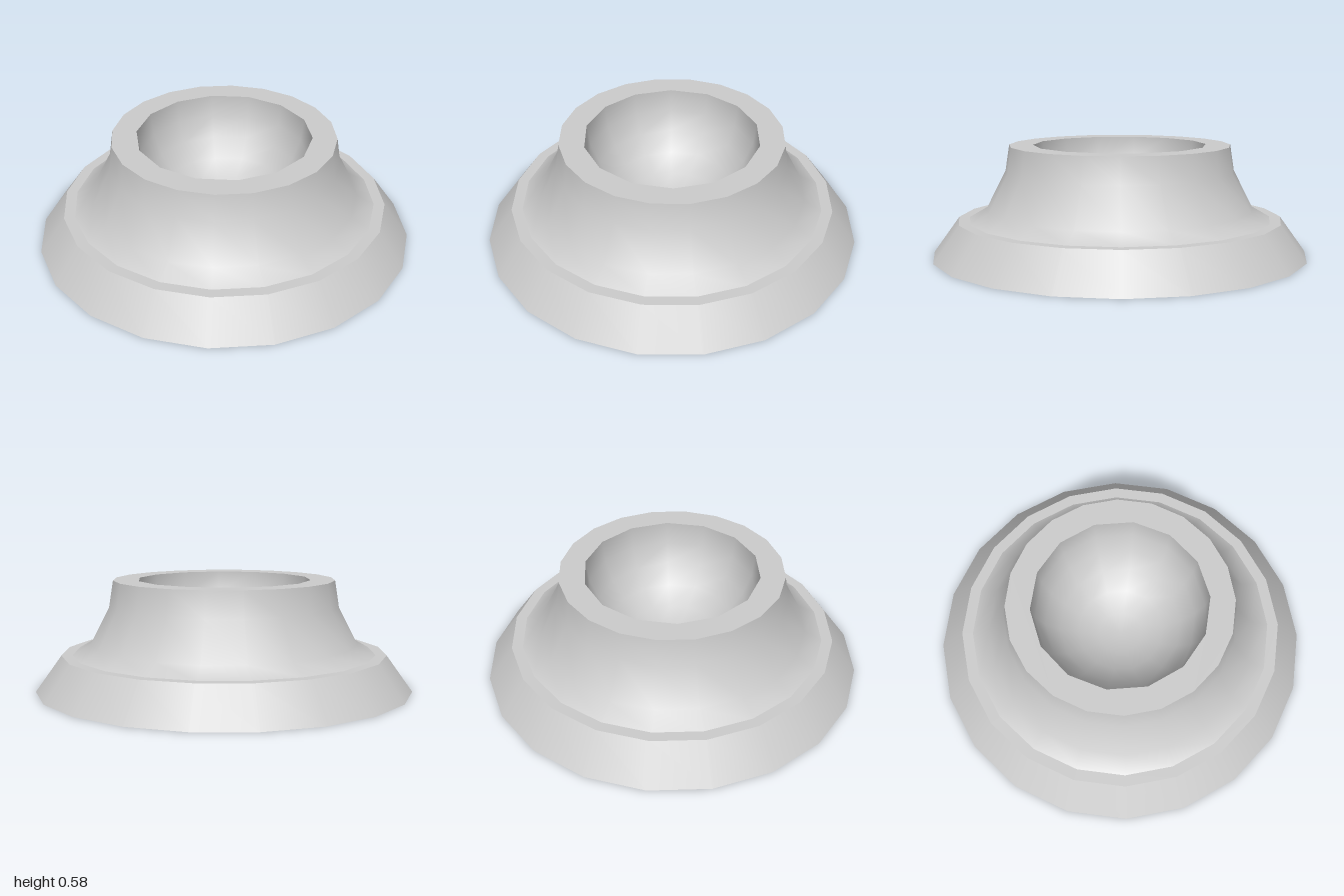
import * as THREE from 'three';

const SIDES = 20;      // outer shell
const BOWL_SIDES = 14; // inner bowl
const TOP = 0.58;
const BOWL_RADIUS = 0.46;

const material = new THREE.MeshStandardMaterial({ color: 0xcccccc, side: THREE.DoubleSide });

function addPart(group, name, geometry) {
  const mesh = new THREE.Mesh(geometry, material);
  mesh.name = name;
  group.add(mesh);
  return mesh;
}

// Turned surface from [radius, height] points, bottom to top
function turned(points) {
  return new THREE.LatheGeometry(points.map(([r, y]) => new THREE.Vector2(r, y)), SIDES);
}

// Corners of a regular polygon, starting on +x
function polygon(radius, sides) {
  return Array.from({ length: sides }, (_, i) => {
    const a = (i / sides) * Math.PI * 2;
    return new THREE.Vector2(radius * Math.cos(a), radius * Math.sin(a));
  });
}

export function createModel() {
  const model = new THREE.Group();
  model.name = 'flaredBowlStand';

  // Open-bottomed shell: flared foot, flat ledge, concave neck
  addPart(model, 'foot', turned([[1, 0], [0.863, 0.19]]));
  addPart(model, 'ledge', turned([[0.863, 0.19], [0.805, 0.19]]));
  addPart(model, 'neck', turned([[0.805, 0.19], [0.71, 0.245], [0.61, 0.44], [0.588, TOP]]));

  // Flat rim joining the neck to the bowl
  const rimShape = new THREE.Shape(polygon(0.588, SIDES));
  rimShape.holes.push(new THREE.Path(polygon(BOWL_RADIUS, BOWL_SIDES)));
  const rim = addPart(model, 'rim', new THREE.ShapeGeometry(rimShape).rotateX(-Math.PI / 2));
  rim.position.y = TOP;

  // Hemispherical bowl hanging inside the shell
  const bowl = addPart(model, 'bowl', new THREE.SphereGeometry(
    BOWL_RADIUS, BOWL_SIDES, 6, 0, Math.PI * 2, Math.PI / 2, Math.PI / 2));
  bowl.position.y = TOP;

  return model;
}
